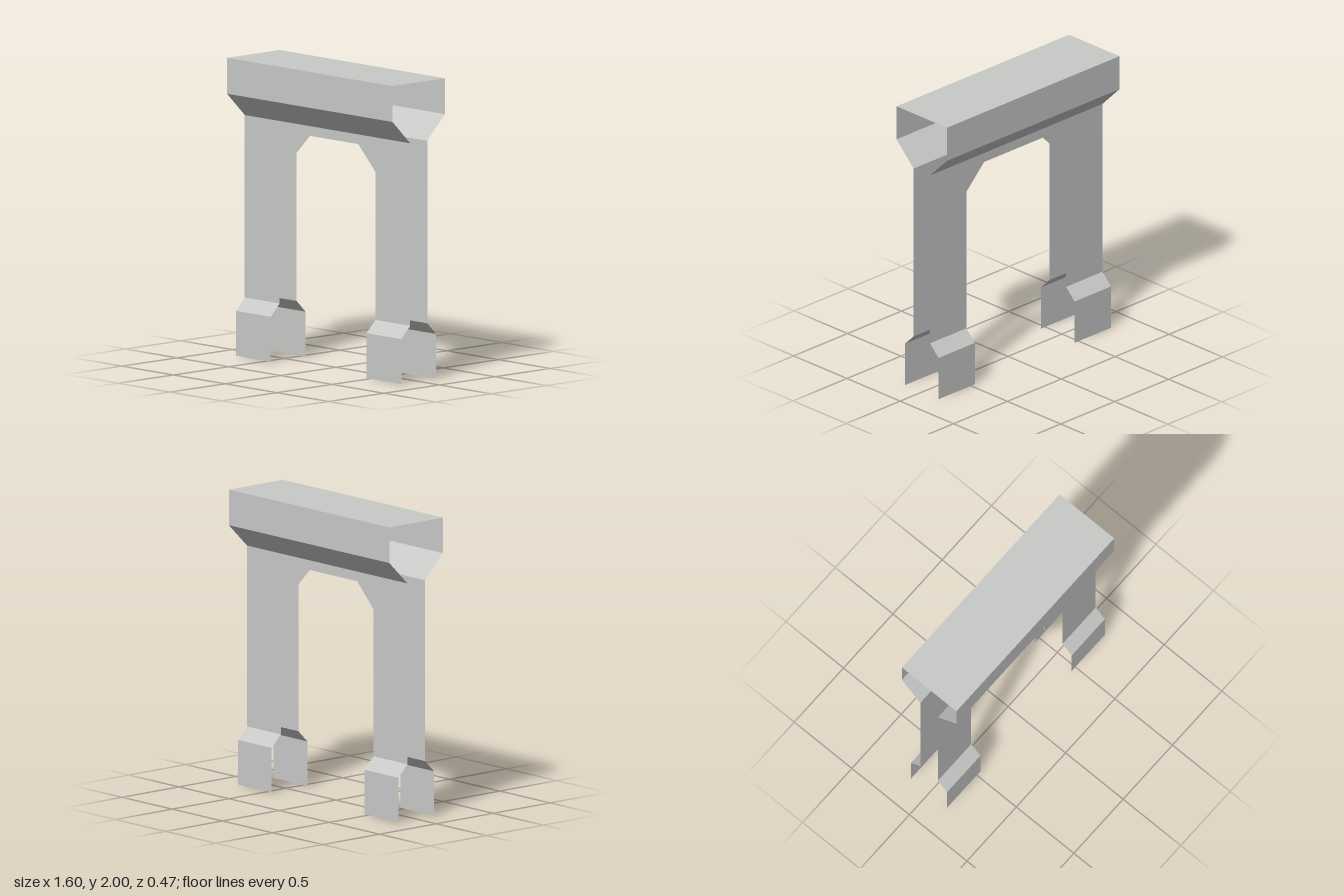
import * as THREE from 'three';

const W = 0.8;             // half width of the gateway
const JAMB = 0.463;        // half width of the opening
const WALL_Z = 0.077, BASE_Z = 0.157, CAP_Z = 0.237;

// flat panel between x0 and x1, running from (y0, z0) up to (y1, z1)
function panel(name, material, x0, x1, [y0, z0], [y1, z1]) {
  const geometry = new THREE.BufferGeometry();
  geometry.setAttribute('position', new THREE.Float32BufferAttribute(
    [x0, y0, z0, x1, y0, z0, x1, y1, z1, x0, y1, z1], 3));
  geometry.setIndex([0, 1, 2, 0, 2, 3]);
  geometry.computeVertexNormals();
  const mesh = new THREE.Mesh(geometry, material);
  mesh.name = name;
  return mesh;
}

// one face of the gateway, looking towards +z
function createFace(name, material) {
  const face = new THREE.Group();
  face.name = name;

  // wall with a chamfered opening
  const outline = [[-W, 0.38], [-JAMB, 0.38], [-JAMB, 1.37], [-0.298, 1.535],
    [0.298, 1.535], [JAMB, 1.37], [JAMB, 0.38], [W, 0.38], [W, 1.6], [-W, 1.6]];
  const shape = new THREE.Shape(outline.map(([x, y]) => new THREE.Vector2(x, y)));
  const wall = new THREE.Mesh(new THREE.ShapeGeometry(shape), material);
  wall.name = 'archWall';
  wall.position.z = WALL_Z;
  face.add(wall);

  // sloped ledge and plinth under each leg
  for (const [side, x0, x1] of [['right', -W, -JAMB], ['left', JAMB, W]]) {
    face.add(panel(side + 'PlinthLedge', material, x0, x1, [0.3, BASE_Z], [0.38, WALL_Z]));
    face.add(panel(side + 'Plinth', material, x0, x1, [0, BASE_Z], [0.3, BASE_Z]));
  }

  // cornice flaring out to the fascia
  face.add(panel('cornice', material, -W, W, [1.6, WALL_Z], [1.76, CAP_Z]));
  face.add(panel('fascia', material, -W, W, [1.76, CAP_Z], [2, CAP_Z]));
  return face;
}

export function createModel() {
  const stone = new THREE.MeshStandardMaterial({ color: 0xc8cac8, side: THREE.DoubleSide });
  stone.name = 'pale grey stone';

  const model = new THREE.Group();
  model.name = 'gateway';
  const back = createFace('backFace', stone);
  back.rotation.y = Math.PI;
  model.add(createFace('frontFace', stone), back);

  // flat top; the ends stay open
  model.add(panel('topSlab', stone, -W, W, [2, CAP_Z], [2, -CAP_Z]));
  return model;
}
